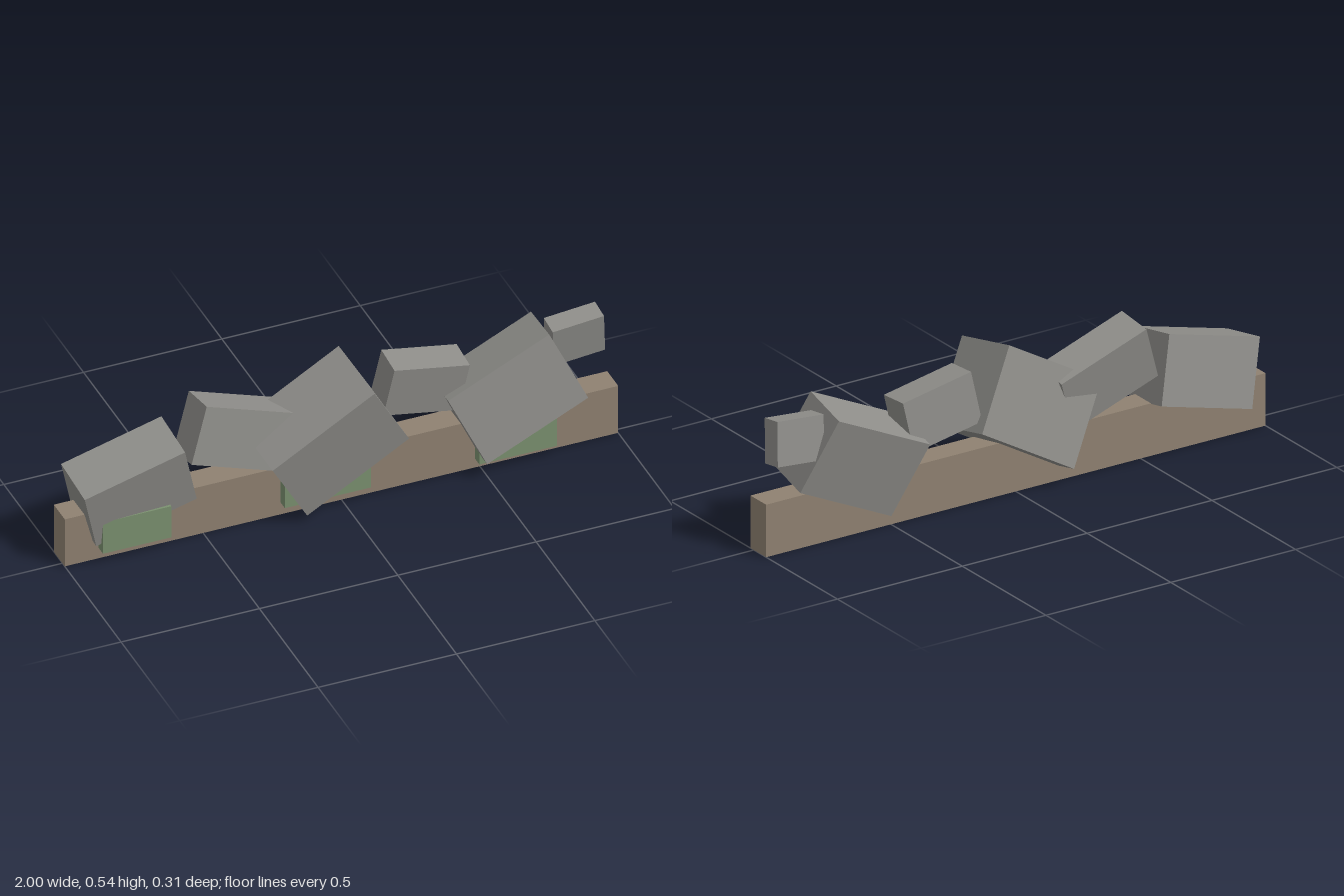
import * as THREE from 'three';

export function createModel() {
  const model = new THREE.Group();
  model.name = 'rubbleWall';

  const material = (name, color) => {
    const m = new THREE.MeshStandardMaterial({ color });
    m.name = name;
    return m;
  };
  const stone = material('grey stone', 0x8e8d89);
  const earth = material('brown earth', 0x8f8171);
  const moss = material('green moss', 0x7b9170);

  // Box by size and centre; roll turns it about z, after tilt about its own x (degrees)
  function block(name, mat, size, centre, roll = 0, tilt = 0) {
    const mesh = new THREE.Mesh(new THREE.BoxGeometry(...size), mat);
    mesh.name = name;
    mesh.position.set(...centre);
    mesh.rotation.order = 'ZXY';
    mesh.rotation.z = THREE.MathUtils.degToRad(roll);
    mesh.rotation.x = THREE.MathUtils.degToRad(tilt);
    model.add(mesh);
  }

  // Long footing
  block('footing', earth, [2, 0.19, 0.094], [0, 0.095, -0.027]);

  // Tumbled stones: size, centre, roll, tilt
  const stones = [
    [[0.375, 0.244, 0.185], [-0.751, 0.251, -0.021], 14.7, 10.6],
    [[0.36, 0.21, 0.138], [-0.354, 0.338, -0.034], -19.3, -9],
    [[0.425, 0.311, 0.25], [-0.059, 0.2825, 0.001], 30, 12],
    [[0.277, 0.186, 0.118], [0.309, 0.363, -0.04], -10.5, 5],
    [[0.403, 0.283, 0.199], [0.62, 0.263, -0.014], 25, -11.5],
    [[0.186, 0.156, 0.0755], [0.872, 0.39, -0.0515], 5, 8.3],
  ];
  stones.forEach(([size, centre, roll, tilt], i) =>
    block(`stone${i + 1}`, stone, size, centre, roll, tilt));

  // Moss patches along the front: x from, x to, y from, y to
  const patches = [
    [-0.88, -0.633, 0.046, 0.172],
    [-0.223, 0.089, 0.053, 0.176],
    [0.48, 0.761, 0.04, 0.178],
  ];
  patches.forEach(([x0, x1, y0, y1], i) =>
    block(`mossPatch${i + 1}`, moss, [x1 - x0, y1 - y0, 0.037],
      [(x0 + x1) / 2, (y0 + y1) / 2, 0.0445]));

  return model;
}
